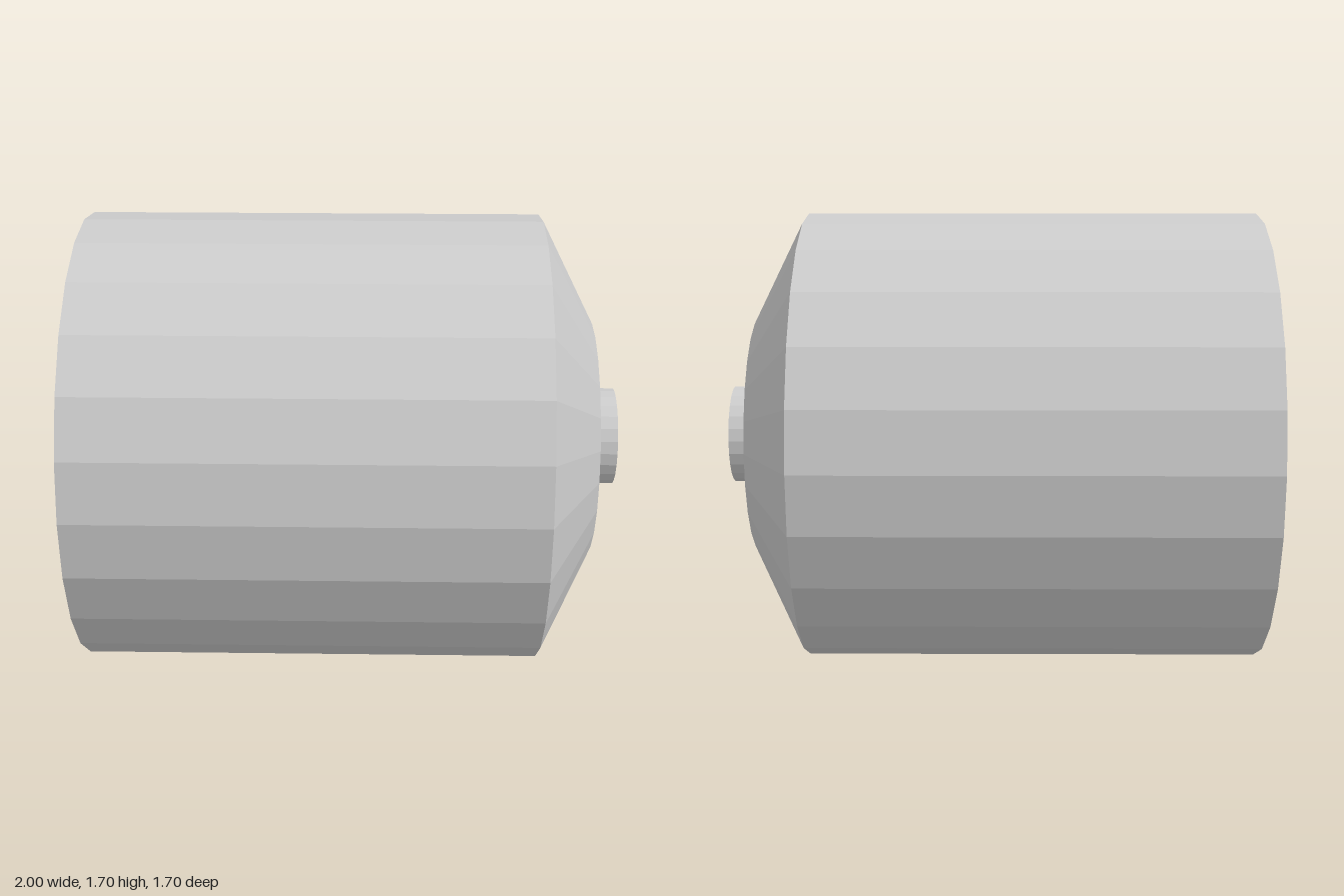
import * as THREE from 'three';

const SIDES = 24;
const AXIS_Y = 0.85;

export function createModel() {
  const group = new THREE.Group();
  const material = new THREE.MeshStandardMaterial({ color: 0xcccccc, flatShading: true });

  // Faceted solid of revolution along x; profile is [radius, x] pairs
  function turned(name, profile) {
    const points = profile.map(([r, x]) => new THREE.Vector2(r, x));
    const geometry = new THREE.LatheGeometry(points, SIDES);
    geometry.rotateZ(-Math.PI / 2);
    const mesh = new THREE.Mesh(geometry, material);
    mesh.name = name;
    mesh.position.y = AXIS_Y;
    group.add(mesh);
  }

  // Drum with a flat back and a chamfered shoulder
  turned('body', [[0, -1], [0.85, -1], [0.85, 0.7], [0.455, 0.9], [0, 0.9]]);

  // Small stub on the end face
  turned('endStub', [[0.185, 0.9], [0.185, 1], [0, 1]]);

  return group;
}
